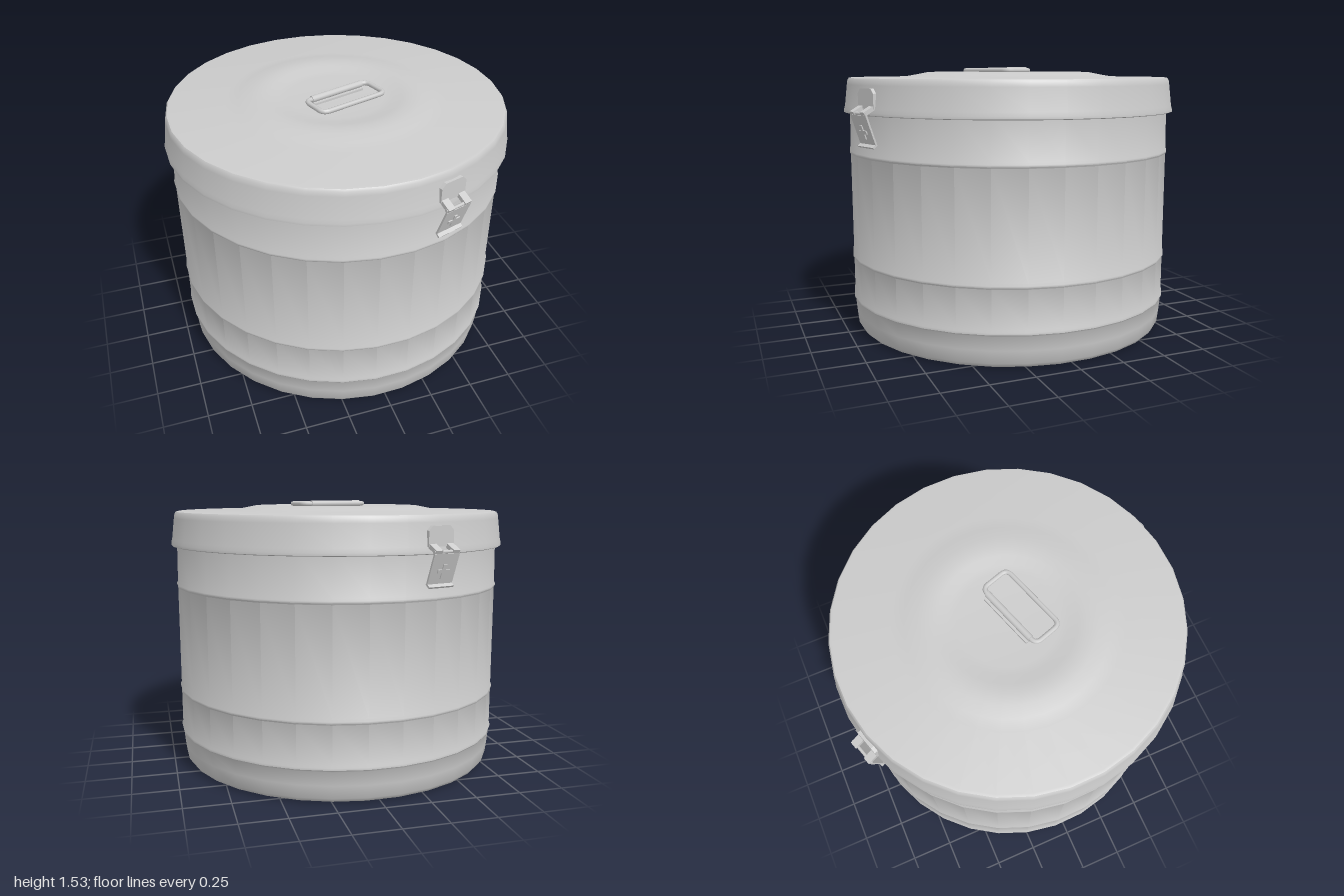
import * as THREE from 'three';
import { toCreasedNormals } from 'three/addons/utils/BufferGeometryUtils.js';

const grey = new THREE.MeshStandardMaterial({ color: 0xcccccc, side: THREE.DoubleSide });

function add(parent, name, geometry, x = 0, y = 0, z = 0) {
  const mesh = new THREE.Mesh(geometry, grey);
  mesh.name = name;
  mesh.position.set(x, y, z);
  parent.add(mesh);
  return mesh;
}

function turned(profile) {
  const points = profile.map(([r, y]) => new THREE.Vector2(r, y));
  return toCreasedNormals(new THREE.LatheGeometry(points, 32), 0.6);
}

// Rounded rectangle outline, as a shape
function roundedRect(w, h, r) {
  const s = new THREE.Shape();
  s.absarc(w / 2 - r, h / 2 - r, r, 0, Math.PI / 2);
  s.absarc(r - w / 2, h / 2 - r, r, Math.PI / 2, Math.PI);
  s.absarc(r - w / 2, r - h / 2, r, Math.PI, Math.PI * 1.5);
  s.absarc(w / 2 - r, r - h / 2, r, Math.PI * 1.5, Math.PI * 2);
  s.closePath();
  return s;
}

// Over-centre latch, built facing +z
function makeLatch() {
  const latch = new THREE.Group();
  latch.name = 'latch';

  // Catch plate on the lid, top corners clipped
  const plate = new THREE.Shape([
    [-0.08, 1.31], [0.08, 1.31], [0.08, 1.39], [0.055, 1.415], [-0.055, 1.415], [-0.08, 1.39],
  ].map(([x, y]) => new THREE.Vector2(x, y)));
  add(latch, 'catchPlate', new THREE.ExtrudeGeometry(plate, { depth: 0.022, bevelEnabled: false }), 0, 0, 0.948);

  // Two knuckles joined by a pin
  for (const side of [-1, 1]) {
    const knuckle = add(latch, 'knuckle', new THREE.BoxGeometry(0.042, 0.022, 0.07), side * 0.055, 1.302, 0.99);
    knuckle.rotation.x = 0.5;
  }
  const pin = add(latch, 'hingePin', new THREE.CylinderGeometry(0.009, 0.009, 0.16, 8), 0, 1.287, 1.01);
  pin.rotation.z = Math.PI / 2;

  // Tilted lever with a raised plus and a turned-out foot
  const lever = new THREE.Group();
  lever.name = 'lever';
  lever.position.set(0, 1.2, 0.985);
  lever.rotation.x = 0.34;
  add(lever, 'leverPlate', new THREE.BoxGeometry(0.16, 0.17, 0.01));
  add(lever, 'plusUpright', new THREE.BoxGeometry(0.02, 0.08, 0.008), 0, -0.01, 0.007);
  for (const side of [-1, 1]) {
    add(lever, 'plusArm', new THREE.BoxGeometry(0.028, 0.02, 0.008), side * 0.024, -0.01, 0.007);
  }
  const foot = add(lever, 'leverFoot', new THREE.BoxGeometry(0.16, 0.01, 0.03), 0, -0.085, 0.009);
  foot.rotation.x = 0.35;
  latch.add(lever);
  return latch;
}

// Folded-down wire handle hinged at the lid centre
function makeHandle() {
  const handle = new THREE.Group();
  handle.name = 'handle';
  const path = new THREE.CurvePath();
  const w = 0.21, d = 0.085, r = 0.04, y = 1.508, cz = 0.091;
  const v = (x, z) => new THREE.Vector3(x, y, z + cz);
  const corners = [[w, d], [-w, d], [-w, -d], [w, -d]];
  corners.forEach(([x, z], i) => {
    const [px, pz] = corners[(i + 3) % 4], [nx, nz] = corners[(i + 1) % 4];
    const [qx, qz] = corners[(i + 2) % 4];
    const toward = (tx, tz) => v(x + Math.sign(tx - x) * r, z + Math.sign(tz - z) * r);
    path.add(new THREE.QuadraticBezierCurve3(toward(px, pz), v(x, z), toward(nx, nz)));
    path.add(new THREE.LineCurve3(toward(nx, nz), v(nx + Math.sign(x - nx) * r, nz + Math.sign(z - nz) * r)));
  });
  add(handle, 'wireLoop', new THREE.TubeGeometry(path, 96, 0.014, 8, true));

  // Sleeve and mounting strap holding the rear bar
  const sleeve = add(handle, 'hingeSleeve', new THREE.CylinderGeometry(0.019, 0.019, 0.34, 12), 0, y, cz - d);
  sleeve.rotation.z = Math.PI / 2;
  const strap = new THREE.ExtrudeGeometry(roundedRect(0.34, 0.06, 0.008), { depth: 0.012, bevelEnabled: false });
  strap.rotateX(-Math.PI / 2);
  add(handle, 'mountingStrap', strap, 0, 1.481, cz - d);
  return handle;
}

export function createModel() {
  const model = new THREE.Group();
  model.name = 'drum';
  model.rotation.y = THREE.MathUtils.degToRad(18);

  // Drum wall with three shallow ribs and a tapered foot
  add(model, 'body', turned([
    [0, 0], [0.895, 0], [0.912, 0.008], [0.926, 0.028], [0.935, 0.1], [0.942, 0.178],
    [0.949, 0.188], [0.949, 0.2], [0.944, 0.21], [0.944, 0.425], [0.95, 0.434], [0.95, 0.444],
    [0.944, 0.455], [0.944, 1.035], [0.95, 1.044], [0.95, 1.054], [0.944, 1.065], [0.941, 1.3],
  ]));

  // Lid with flared skirt, raised ring and dished centre
  add(model, 'lid', turned([
    [0.94, 1.28], [0.966, 1.272], [0.974, 1.276], [0.974, 1.29], [0.968, 1.31], [0.954, 1.43],
    [0.95, 1.455], [0.942, 1.466], [0.928, 1.469], [0.62, 1.473], [0.55, 1.485], [0.48, 1.499],
    [0.42, 1.501], [0.37, 1.496], [0.32, 1.485], [0.27, 1.481], [0, 1.481],
  ]));

  model.add(makeHandle());

  // Opposed latches
  for (const turn of [0, Math.PI]) {
    const latch = makeLatch();
    latch.rotation.y = turn;
    model.add(latch);
  }

  const root = new THREE.Group();
  root.name = 'liddedDrum';
  root.add(model);
  return root;
}
